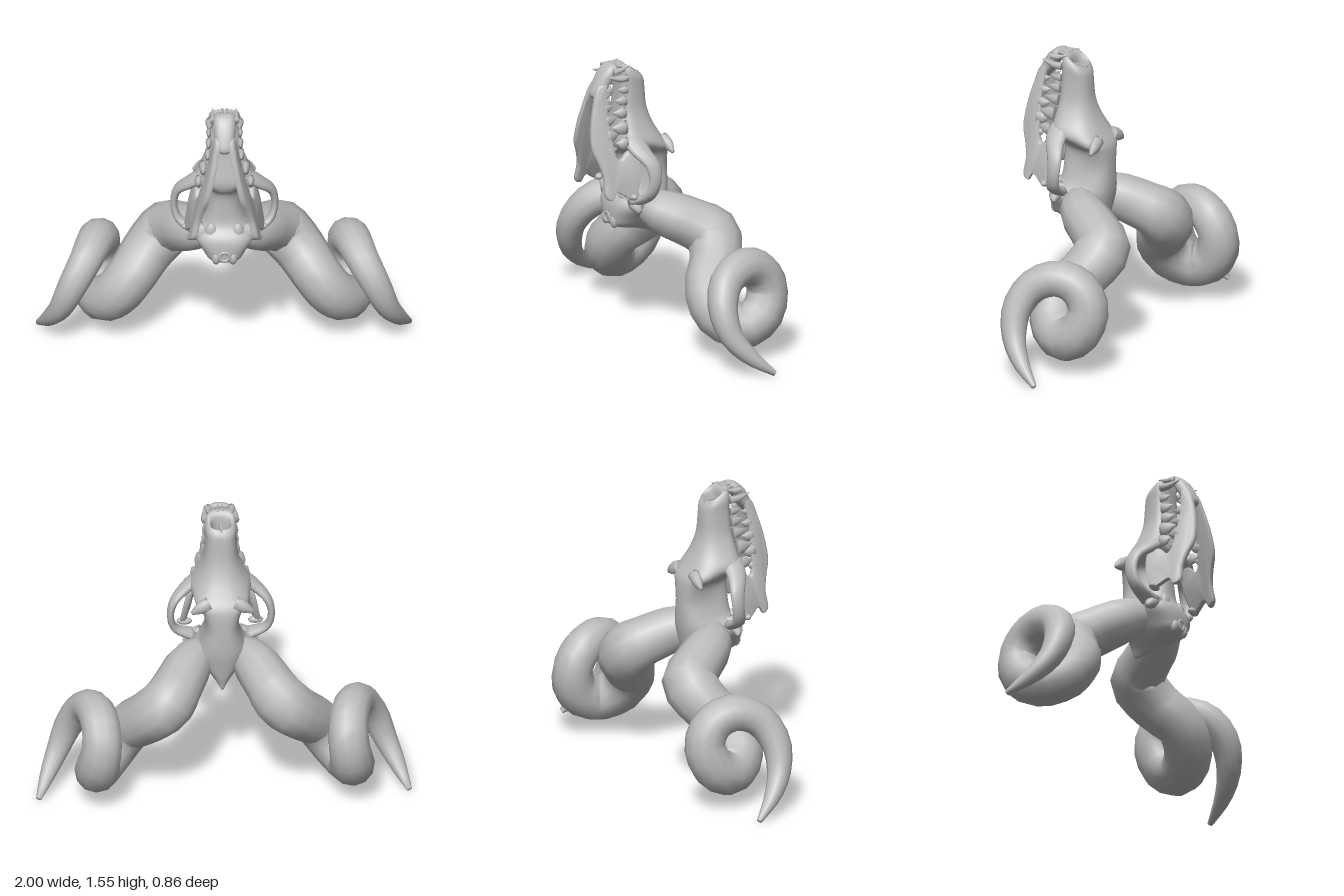
import * as THREE from 'three';
import { toCreasedNormals } from 'three/addons/utils/BufferGeometryUtils.js';

const V = (p) => new THREE.Vector3(p[0], p[1], p[2]);
const spline = (pts) => new THREE.CatmullRomCurve3(pts.map(V), false, 'catmullrom');
const spow = (v, e) => Math.sign(v) * Math.abs(v) ** e;

// Skin over closed rings, capped at both ends
function skin(rings) {
  const n = rings[0].length, pos = [], idx = [];
  rings.forEach((r) => r.forEach((p) => pos.push(p.x, p.y, p.z)));
  for (let i = 0; i < rings.length - 1; i++) {
    for (let j = 0; j < n; j++) {
      const a = i * n + j, b = i * n + (j + 1) % n;
      idx.push(a, b, a + n, b, b + n, a + n);
    }
  }
  const last = (rings.length - 1) * n;
  for (let j = 1; j < n - 1; j++) idx.push(0, j + 1, j, last, last + j, last + j + 1);
  const g = new THREE.BufferGeometry();
  g.setAttribute('position', new THREE.Float32BufferAttribute(pos, 3));
  g.setIndex(idx);
  g.computeVertexNormals();
  return g;
}

// Tapered tube: rows are [x, y, z, radius]; stretch widens the section per axis
function sweep(rows, steps, sides, stretch = [1, 1, 1]) {
  const path = spline(rows), rad = spline(rows.map((r) => [r[3], 0, 0])), wide = V(stretch);
  const n = new THREE.Vector3(0, 1, 0), rings = [];
  for (let i = 0; i <= steps; i++) {
    const u = i / steps, c = path.getPoint(u), t = path.getTangent(u), r = rad.getPoint(u).x;
    n.addScaledVector(t, -n.dot(t)).normalize();
    const b = t.clone().cross(n);
    rings.push(Array.from({ length: sides }, (_, j) => {
      const a = j / sides * Math.PI * 2;
      const o = n.clone().multiplyScalar(Math.cos(a) * r).addScaledVector(b, Math.sin(a) * r);
      return o.multiply(wide).add(c);
    }));
  }
  return skin(rings);
}

// Loft down y: rows are [y, dorsal z, ventral z, dorsal half-width, ventral half-width, tilt]
function loft(rows, steps, sides, e = 0.75) {
  const A = spline(rows), B = spline(rows.map((r) => r.slice(3))), rings = [];
  for (let i = 0; i <= steps; i++) {
    const p = A.getPoint(i / steps), w = B.getPoint(i / steps);
    rings.push(Array.from({ length: sides }, (_, j) => {
      const a = j / sides * Math.PI * 2, c = spow(Math.cos(a), e), s = spow(Math.sin(a), e);
      return new THREE.Vector3(c * THREE.MathUtils.lerp(w.x, w.y, (s + 1) / 2),
        p.x + w.z * s, (p.y + p.z) / 2 + s * (p.z - p.y) / 2);
    }));
  }
  return skin(rings);
}

function mirrored(geo) {
  const g = geo.clone().scale(-1, 1, 1);
  const n = g.attributes.position.count;
  const idx = g.index ? Array.from(g.index.array) : Array.from({ length: n }, (_, i) => i);
  for (let i = 0; i < idx.length; i += 3) [idx[i + 1], idx[i + 2]] = [idx[i + 2], idx[i + 1]];
  g.setIndex(idx);
  return g;
}

export function createModel() {
  const group = new THREE.Group();
  const bone = new THREE.MeshStandardMaterial({ color: 0xbbbbbb });
  bone.name = 'bone grey';
  const add = (name, geo) => {
    const m = new THREE.Mesh(geo, bone);
    m.name = name;
    group.add(m);
  };
  const pair = (name, geo) => {
    add(name + 'Left', geo);
    add(name + 'Right', mirrored(geo));
  };

  // Curling horns
  pair('horn', sweep([
    [0.07, 0.75, 0.09, 0.08], [0.165, 0.71, 0.02, 0.122], [0.25, 0.64, -0.125, 0.136],
    [0.31, 0.58, -0.198, 0.15], [0.41, 0.475, -0.15, 0.14], [0.50, 0.37, -0.057, 0.132],
    [0.59, 0.25, -0.065, 0.13], [0.67, 0.188, -0.17, 0.122], [0.68, 0.25, -0.285, 0.118],
    [0.66, 0.38, -0.325, 0.11], [0.66, 0.49, -0.265, 0.106], [0.69, 0.53, -0.15, 0.1],
    [0.74, 0.48, -0.03, 0.09], [0.81, 0.36, 0.03, 0.08], [0.87, 0.22, 0.01, 0.064],
    [0.93, 0.11, -0.07, 0.045], [0.988, 0.015, -0.187, 0.015],
  ], 40, 12));

  // Muzzle and braincase, beginning inside the nose opening
  add('skull', loft([
    [1.38, 0.12, 0.14, 0.01, 0.01, 0], [1.40, 0.09, 0.165, 0.04, 0.04, 0],
    [1.48, 0.083, 0.172, 0.055, 0.05, 0.03], [1.507, 0.095, 0.205, 0.062, 0.075, 0.034],
    [1.47, 0.075, 0.218, 0.075, 0.093, 0.03], [1.40, 0.067, 0.22, 0.073, 0.094, 0.01],
    [1.29, 0.057, 0.23, 0.078, 0.107, 0], [1.20, 0.027, 0.245, 0.10, 0.148, 0],
    [1.12, -0.018, 0.26, 0.14, 0.18, 0], [1.068, -0.052, 0.25, 0.165, 0.10, 0],
    [1.02, -0.066, 0.22, 0.125, 0.06, 0], [0.93, -0.07, 0.215, 0.095, 0.085, 0],
    [0.84, -0.07, 0.225, 0.11, 0.12, 0], [0.77, -0.065, 0.27, 0.12, 0.185, 0],
    [0.69, -0.05, 0.28, 0.10, 0.135, 0], [0.635, -0.04, 0.26, 0.06, 0.10, 0],
    [0.60, -0.03, 0.14, 0.035, 0.04, 0], [0.56, -0.02, 0.02, 0.008, 0.008, 0],
  ], 68, 32));
  add('noseDivider', new THREE.BoxGeometry(0.01, 0.09, 0.085).translate(0, 1.43, 0.13));

  // Brow spurs, cheek arches, ear processes, neck joints
  pair('browSpur', sweep([
    [0.07, 1.09, -0.02, 0.04], [0.12, 1.068, -0.03, 0.033], [0.165, 1.04, -0.032, 0.01],
  ], 8, 10, [1, 1, 0.8]));
  pair('cheekArch', sweep([
    [0.11, 1.14, 0.19, 0.035], [0.185, 1.085, 0.175, 0.03], [0.25, 1.02, 0.14, 0.023],
    [0.269, 0.93, 0.135, 0.019], [0.24, 0.845, 0.155, 0.021], [0.14, 0.79, 0.18, 0.03],
  ], 20, 12, [1, 1, 1.9]));
  pair('earProcess', sweep([
    [0.10, 0.80, 0.18, 0.045], [0.155, 0.775, 0.19, 0.038], [0.195, 0.745, 0.185, 0.012],
  ], 8, 10));
  pair('earBulb', new THREE.SphereGeometry(0.035, 12, 8).scale(1, 1.5, 0.8).translate(0.07, 0.8, 0.216));
  pair('neckJoint', new THREE.SphereGeometry(0.03, 12, 8).scale(0.8, 1.3, 0.9).translate(0.045, 0.665, 0.258));
  add('spinalOpeningRim', new THREE.TorusGeometry(0.026, 0.011, 8, 16).translate(0, 0.68, 0.274));

  // Lower jaw: side profile [z, y], sheared outward toward the hinge
  const jawX = (y, z) => 0.026 + (1.44 - y) * 0.235 + (0.38 - z) * 0.22;
  const outline = [
    [0.305, 1.46], [0.36, 1.43], [0.392, 1.335], [0.417, 1.23], [0.426, 1.11], [0.398, 1.025],
    [0.38, 0.95], [0.384, 0.86], [0.345, 0.835], [0.315, 0.875], [0.26, 0.84], [0.222, 0.835],
    [0.19, 0.91], [0.17, 1.0], [0.178, 1.07], [0.235, 1.085], [0.28, 1.045], [0.306, 1.08],
    [0.312, 1.17], [0.322, 1.29],
  ].map(([z, y]) => new THREE.Vector2(-z, y));
  outline.push(outline[0].clone());
  const profile = new THREE.Shape(new THREE.SplineCurve(outline).getPoints(80).slice(0, -1));
  let jaw = new THREE.ExtrudeGeometry(profile, {
    depth: 0.012, bevelEnabled: true, bevelThickness: 0.011, bevelSize: 0.012, bevelOffset: -0.012, bevelSegments: 2,
  });
  jaw.translate(0, 0, -0.006).rotateY(Math.PI / 2);
  const jp = jaw.attributes.position;
  for (let i = 0; i < jp.count; i++) jp.setX(i, jp.getX(i) + jawX(jp.getY(i), jp.getZ(i)));
  jaw.computeVertexNormals();
  jaw = toCreasedNormals(jaw, 0.8);
  pair('lowerJaw', jaw);
  pair('jawHinge', new THREE.SphereGeometry(0.023, 12, 8).scale(1.8, 0.9, 1).translate(0.19, 0.845, 0.23));
  add('chin', loft([
    [1.548, 0.25, 0.265, 0.03, 0.02, 0], [1.535, 0.237, 0.29, 0.06, 0.04, 0],
    [1.50, 0.245, 0.325, 0.068, 0.05, 0], [1.44, 0.28, 0.36, 0.064, 0.046, 0],
    [1.39, 0.315, 0.38, 0.056, 0.036, 0], [1.365, 0.335, 0.37, 0.03, 0.02, 0],
  ], 20, 16));

  // Teeth: tapered cones; dir +1 grows from the upper jaw, -1 from the lower
  const tooth = (x, y, z, len, r, dir, lean = 0, stretch = [1, 1, 1]) => sweep([
    [x, y, z - dir * 0.015, r], [x, y, z + dir * len * 0.3, r * 0.85],
    [x, y + lean * 0.6, z + dir * len * 0.7, r * 0.4], [x, y + lean, z + dir * len, r * 0.05],
  ], 6, 8, stretch);
  const blade = [0.75, 1.3, 1];
  pair('upperCanine', tooth(0.08, 1.475, 0.215, 0.11, 0.022, 1, 0.02));
  pair('lowerCanine', tooth(0.063, 1.515, 0.26, 0.09, 0.018, -1, 0.02));
  [[1.41, 0.045, 0.018], [1.35, 0.055, 0.022], [1.285, 0.062, 0.025], [1.21, 0.075, 0.032], [1.13, 0.05, 0.028]]
    .forEach(([y, len, r], i) => {
      pair('upperCheekTooth' + i,
        tooth(0.084 + Math.max(0, 1.3 - y) * 0.32, y, 0.218 + (1.4 - y) * 0.12, len, r, 1, 0.008, blade));
    });
  [[1.38, 0.035, 0.016], [1.318, 0.045, 0.02], [1.25, 0.052, 0.024], [1.17, 0.06, 0.03], [1.095, 0.04, 0.02]]
    .forEach(([y, len, r], i) => {
      pair('lowerCheekTooth' + i, tooth(jawX(y, 0.32), y, 0.322, len, r, -1, 0.008, blade));
    });
  for (let i = 0; i < 3; i++) {
    const x = 0.012 + i * 0.021, y = 1.538 - i * i * 0.006;
    pair('upperIncisor' + i, tooth(x, y - 0.004, 0.205, 0.04, 0.011, 1, 0.008));
    pair('lowerIncisor' + i, tooth(x * 0.9, y, 0.245, 0.03, 0.009, -1, 0.008));
  }
  return group;
}
